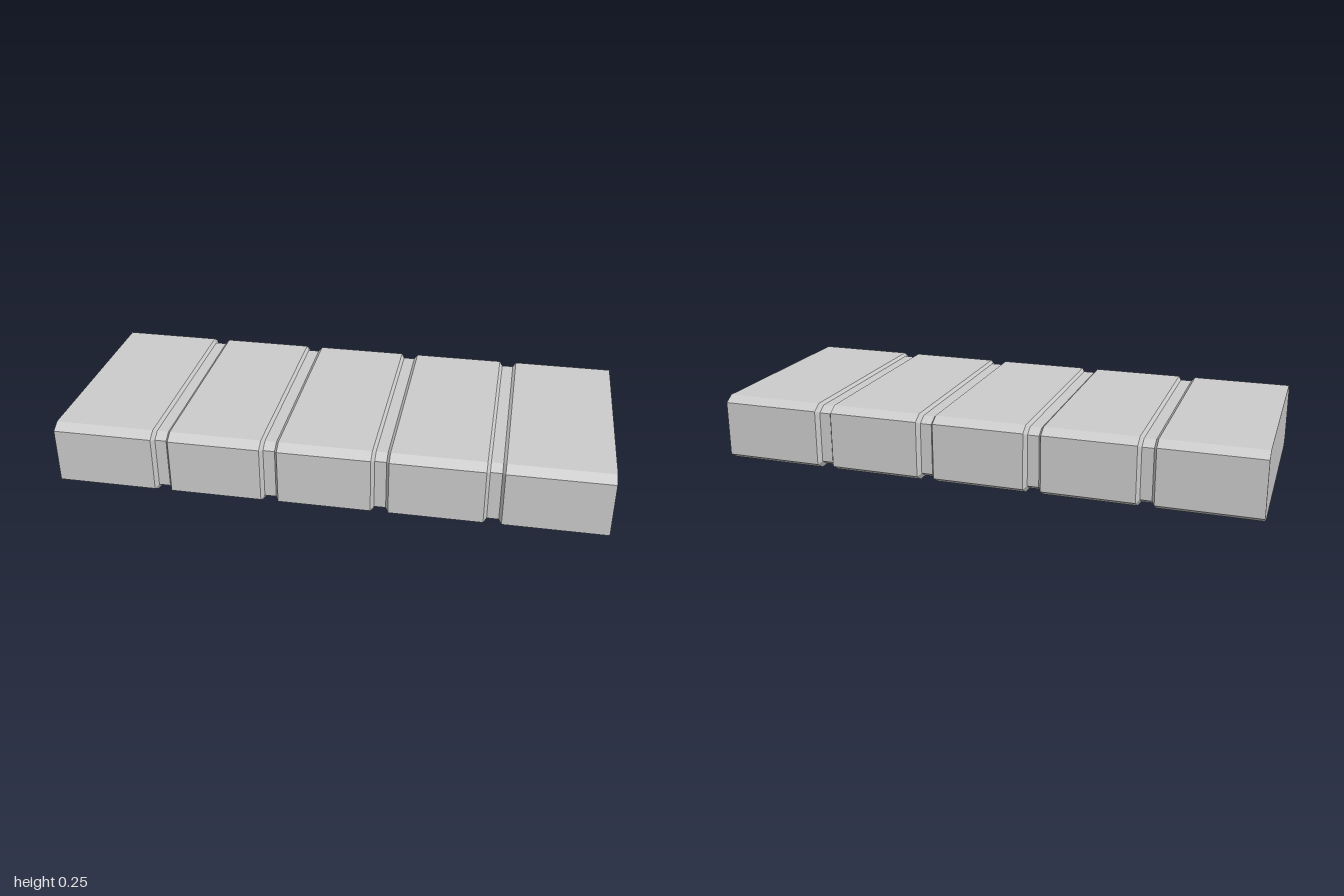
import * as THREE from 'three';

// Chamfered cross-section at position x, shrunk about its centre in z and y;
// corners run counter-clockwise as seen from +x
function section(x, sz, sy) {
  const corners = [
    [0.39, 0.125], [0.425, 0.103], [0.425, -0.103], [0.39, -0.125],
    [-0.39, -0.125], [-0.425, -0.103], [-0.425, 0.103], [-0.39, 0.125],
  ];
  return corners.map(([z, y]) => new THREE.Vector3(x, 0.125 + y * sy, z * sz));
}

// Flat-shaded skin through the sections, closed at both ends
function loft(rings) {
  const points = [];
  const n = rings[0].length;
  for (let i = 0; i < rings.length - 1; i++) {
    for (let j = 0; j < n; j++) {
      const k = (j + 1) % n;
      const a = rings[i][j], b = rings[i][k], c = rings[i + 1][k], d = rings[i + 1][j];
      points.push(a, b, c, a, c, d);
    }
  }
  const first = rings[0], last = rings[rings.length - 1];
  for (let j = 1; j < n - 1; j++) {
    points.push(first[0], first[j + 1], first[j]);
    points.push(last[0], last[j], last[j + 1]);
  }
  const geometry = new THREE.BufferGeometry().setFromPoints(points);
  geometry.computeVertexNormals();
  return geometry;
}

export function createModel() {
  const group = new THREE.Group();
  group.name = 'segmentedBar';
  const material = new THREE.MeshStandardMaterial({ color: 0xcccccc, flatShading: true });

  // Full sections at the ends, with a shallow sloped groove between segments
  const rings = [section(-1, 1, 1)];
  for (const x of [-0.602, -0.202, 0.198, 0.598]) {
    rings.push(
      section(x - 0.032, 1, 1),
      section(x - 0.021, 0.957, 0.92),
      section(x + 0.021, 0.957, 0.92),
      section(x + 0.032, 1, 1),
    );
  }
  rings.push(section(1, 1, 1));

  const bar = new THREE.Mesh(loft(rings), material);
  bar.name = 'groovedBar';
  group.add(bar);
  return group;
}
